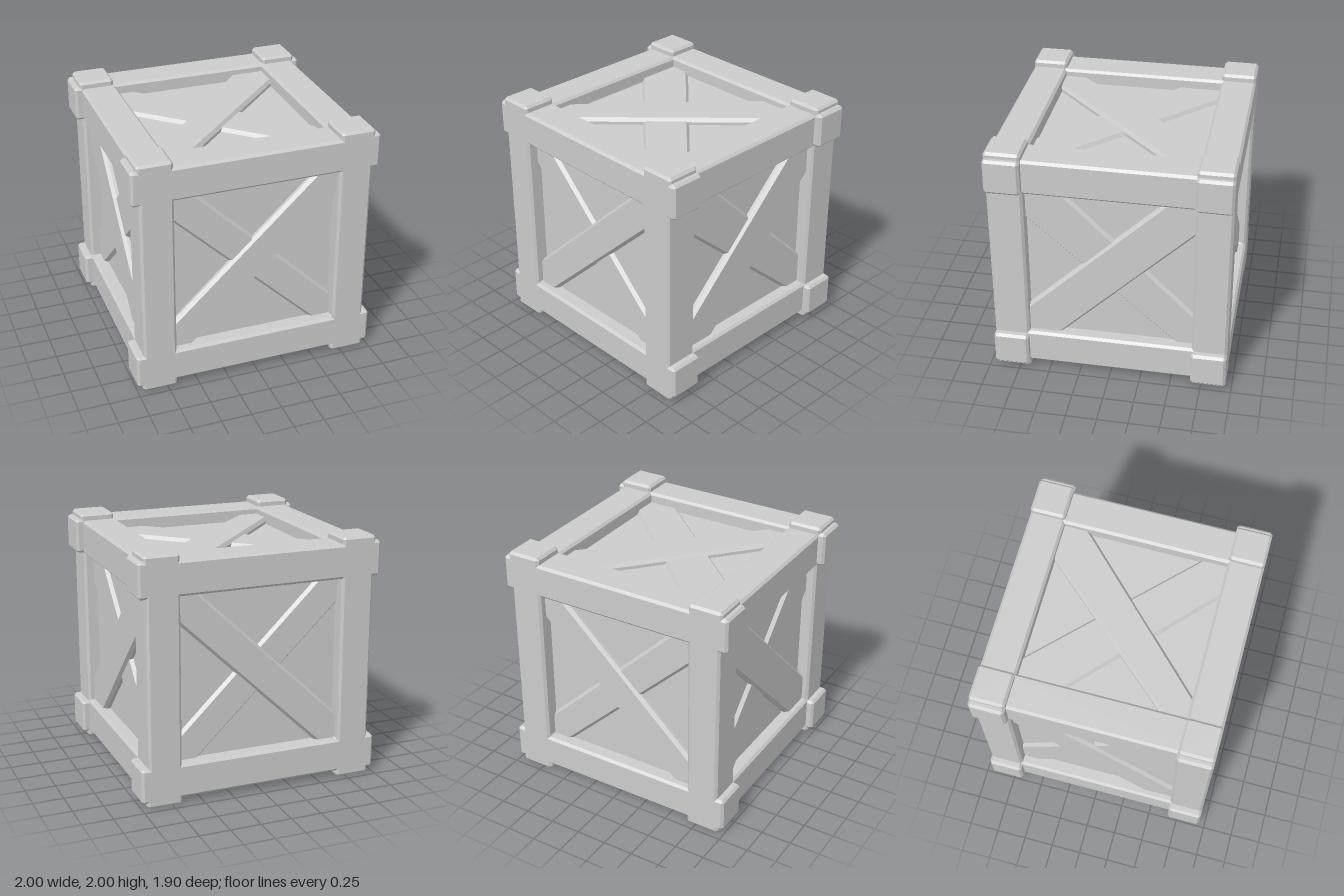
import * as THREE from 'three';
import { ConvexGeometry } from 'three/addons/geometries/ConvexGeometry.js';

const material = new THREE.MeshStandardMaterial({ color: 0xcccccc, flatShading: true });

// Box with every edge chamfered by b
function chamferBox(w, h, d, b) {
  const points = [];
  for (const sx of [-1, 1]) for (const sy of [-1, 1]) for (const sz of [-1, 1]) {
    const x = w / 2, y = h / 2, z = d / 2;
    points.push(
      new THREE.Vector3(sx * x, sy * (y - b), sz * (z - b)),
      new THREE.Vector3(sx * (x - b), sy * y, sz * (z - b)),
      new THREE.Vector3(sx * (x - b), sy * (y - b), sz * z));
  }
  return new ConvexGeometry(points);
}

function add(parent, name, geometry, x = 0, y = 0, z = 0) {
  const mesh = new THREE.Mesh(geometry, material);
  mesh.name = name;
  mesh.position.set(x, y, z);
  parent.add(mesh);
}

// Board with bevelled rims, its outer face at height top (or mirrored to -top)
function board(outline, top, side) {
  const bevel = 0.03, depth = 0.05;
  const shape = new THREE.Shape(outline.map(([u, v]) => new THREE.Vector2(u, v)));
  const geometry = new THREE.ExtrudeGeometry(shape, {
    depth, bevelThickness: bevel, bevelSize: 0.022, bevelOffset: -0.02, bevelSegments: 1
  });
  const centre = top - bevel - depth / 2;
  return geometry.translate(0, 0, side * centre - depth / 2);
}

// Lengthen an edge at both ends so the boards run in behind the frame
function extend([[u0, v0], [u1, v1]]) {
  const k = 0.045, du = (u1 - u0) * k, dv = (v1 - v0) * k;
  return [[u0 - du, v0 - dv], [u1 + du, v1 + dv]];
}

// Edge end points of the crossing boards: a/b = upper/lower edge of the main
// brace, p/q = upper/lower edge of the cross brace
const E = 0.66, K = 0.71;
const patterns = {
  front: { a: [[-E, -0.44], [0.5, E]], b: [[-0.49, -E], [E, 0.435]],
    p: [[-0.49, E], [E, -0.46]], q: [[-E, 0.445], [0.49, -E]] },
  side: { a: [[-E, -0.41], [0.44, E]], b: [[-0.4, -E], [E, 0.385]],
    p: [[-0.39, E], [E, -0.37]], q: [[-E, 0.385], [0.51, -E]] },
  top: { a: [[-E, -0.475], [0.36, E]], b: [[-0.46, -E], [E, 0.455]],
    p: [[-0.47, E], [E, -0.45]], q: [[-E, 0.3], [0.38, -E]] }
};

function bracePair(pattern, side) {
  const [a, b, p, q] = ['a', 'b', 'p', 'q'].map((key) => extend(pattern[key]));
  const group = new THREE.Group();
  add(group, 'mainBrace', board([...b, [K, K], a[1], a[0], [-K, -K]], 0.885, side));
  add(group, 'crossBrace', board([...q, [K, -K], p[1], p[0], [-K, K]], 0.86, side));
  return group;
}

export function createModel() {
  const model = new THREE.Group();
  model.name = 'crate';
  const body = new THREE.Group();
  body.name = 'crateBody';
  body.position.y = 1;
  model.add(body);

  // Recessed panels
  add(body, 'panels', new THREE.BoxGeometry(1.66, 1.66, 1.66));

  // Frame beams along the three axes; the side beams show a thin lip
  // inside the front and back openings
  const bevel = 0.02;
  const post = chamferBox(0.27, 1.96, 0.285, bevel);
  const rail = chamferBox(1.96, 0.275, 0.285, bevel);
  const sideBeam = chamferBox(0.285, 0.29, 1.86, bevel);
  const postCap = chamferBox(0.285, 0.09, 0.285, bevel);
  const railCap = chamferBox(0.09, 0.285, 0.285, bevel);
  for (const s of [-1, 1]) for (const r of [-1, 1]) {
    add(body, 'cornerPost', post, s * 0.805, 0, r * 0.8075);
    add(body, 'crossRail', rail, 0, s * 0.8075, r * 0.8075);
    add(body, 'sideBeam', sideBeam, s * 0.7975, r * 0.8, 0);
    // Slightly wider projecting beam ends
    for (const z of [-0.8075, 0.8075]) {
      add(body, 'postEnd', postCap, s * 0.8125, r * 0.955, z);
      add(body, 'railEnd', railCap, s * 0.955, r * 0.8125, z);
    }
  }

  // Crossed boards on all six faces
  const faces = [
    ['frontBraces', 'front', 1, 0, 0],
    ['backBraces', 'front', -1, 0, 0],
    ['leftBraces', 'side', 1, 0, Math.PI / 2],
    ['rightBraces', 'side', -1, 0, Math.PI / 2],
    ['topBraces', 'top', 1, -Math.PI / 2, 0],
    ['bottomBraces', 'top', 1, Math.PI / 2, 0]
  ];
  for (const [name, pattern, side, rx, ry] of faces) {
    const braces = bracePair(patterns[pattern], side);
    braces.name = name;
    braces.rotation.set(rx, ry, 0);
    body.add(braces);
  }
  return model;
}
